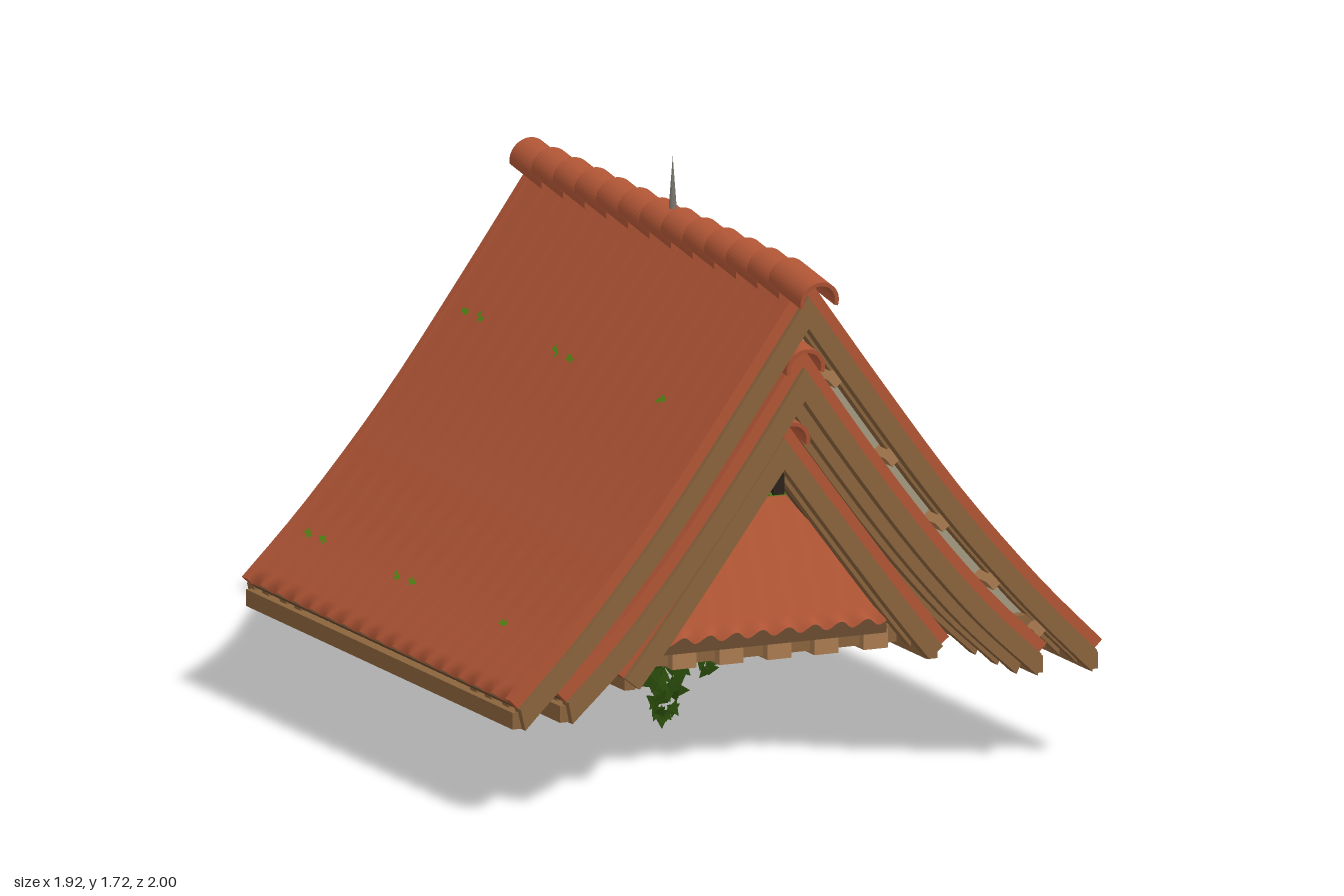
import * as THREE from 'three';
import { mergeGeometries } from 'three/addons/utils/BufferGeometryUtils.js';

const mat = (name, color, side = THREE.FrontSide) => {
  const m = new THREE.MeshStandardMaterial({ color, side });
  m.name = name;
  return m;
};

export function createModel() {
  const root = new THREE.Group();
  const tile = mat('terracotta tile', 0xb05535, THREE.DoubleSide);
  const wood = mat('wood', 0x8a633c);
  const lightWood = mat('light wood', 0xa97a50);
  const darkWood = mat('dark wood', 0x6a4b2f);
  const plaster = mat('plaster', 0xa39980, THREE.DoubleSide);
  const ivy = mat('ivy green', 0x28480a, THREE.DoubleSide);
  const moss = mat('moss green', 0x528a14, THREE.DoubleSide);
  const iron = mat('iron', 0x77756c);
  const black = mat('opening black', 0x2a211b);

  let seed = 7;
  const rnd = () => (seed = (seed * 16807) % 2147483647) / 2147483647;
  const add = (parent, name, geo, material, x = 0, y = 0, z = 0) => {
    const m = new THREE.Mesh(geo, material);
    m.name = name;
    m.position.set(x, y, z);
    parent.add(m);
    return m;
  };
  const box = (parent, name, w, h, d, material, x, y, z) =>
    add(parent, name, new THREE.BoxGeometry(w, h, d), material, x, y, z);

  // Point on a roof slope, moved along the outward normal by d; t over 1 runs straight past the eave
  const slopePoint = (curve, t, d) => {
    const q = Math.min(t, 1), p = curve.getPoint(q), g = curve.getTangent(q);
    return new THREE.Vector2(p.x - g.y * d + g.x * (t - q), p.y + g.x * d + g.y * (t - q));
  };
  const offsetSide = (curve, d, end) => {
    const pts = [new THREE.Vector2(0, curve.getPoint(0).y + d / curve.getTangent(0).x)];
    for (let i = 1; i <= 16; i++) {
      const p = slopePoint(curve, i / 16 * end, d);
      if (p.x > 0.01) pts.push(p);
    }
    return pts;
  };
  // Both slopes as one bent band between two offsets, running from z0 to z1
  const chevron = (curve, d0, d1, z0, z1, end0 = 1, end1 = end0) => {
    const full = (d, end) => {
      const r = offsetSide(curve, d, end);
      const l = r.slice(1).reverse().map(p => new THREE.Vector2(-p.x, p.y));
      return [...l, ...r];
    };
    const shape = new THREE.Shape([...full(d0, end0), ...full(d1, end1).reverse()]);
    return new THREE.ExtrudeGeometry(shape, { depth: z1 - z0, bevelEnabled: false }).translate(0, 0, z0);
  };
  // Smooth tile surface of one slope, scalloped towards the eave
  const tileSheet = (curve, half, side) => {
    const cols = Math.round(half * 2 / 0.115);
    const geo = new THREE.PlaneGeometry(2, 1, cols * 6, 32);
    const pos = geo.attributes.position;
    for (let i = 0; i < pos.count; i++) {
      const u = pos.getX(i), t = 0.5 - pos.getY(i);
      const amp = t > 0.97 ? 0.011 : 0.0006;
      const p = slopePoint(curve, t, amp * (Math.cos(u * cols * Math.PI) - 1));
      pos.setXYZ(i, side * Math.max(p.x, 0), p.y, -u * half * side);
    }
    geo.computeVertexNormals();
    return geo;
  };
  // Overlapping, tilted half-round ridge tiles
  const capShape = new THREE.Shape();
  capShape.absarc(0, 0, 0.062, -0.25, Math.PI + 0.25, false);
  capShape.absarc(0, 0, 0.05, Math.PI + 0.25, -0.25, true);
  const capGeo = new THREE.ExtrudeGeometry(capShape, { depth: 0.22, bevelEnabled: false, curveSegments: 12 });
  capGeo.translate(0, 0, -0.11);

  const makeRoof = (name, profile, half, ridgeHalf, rafters, rafterDepth, boardEnd, shift = 0) => {
    const g = new THREE.Group();
    g.name = name;
    g.position.z = shift;
    root.add(g);
    const curve = new THREE.SplineCurve(profile.map(p => new THREE.Vector2(...p)));
    const both = (a, b, s) => s > 0 ? [a, b] : [-b, -a];
    for (const s of [1, -1]) {
      add(g, 'tileSlope', tileSheet(curve, half - 0.03, s), tile);
      const e = slopePoint(curve, boardEnd - 0.01, -0.062);
      box(g, 'eaveBeam', 0.035, 0.05, half * 2 - 0.04, wood, s * e.x, e.y, 0);
      add(g, 'edgeTiles', chevron(curve, 0.002, -0.036, ...both(half - 0.05, half - 0.014, s)), tile);
      add(g, 'bargeBoard', chevron(curve, -0.034, -0.09, ...both(half - 0.04, half + 0.005, s), 1, boardEnd), wood);
      for (const r of rafters)
        add(g, 'rafter', chevron(curve, -0.038, rafterDepth, s * r - 0.022, s * r + 0.022, 1, boardEnd - 0.01), wood);
    }
    add(g, 'sheathing', chevron(curve, -0.022, -0.04, -half + 0.03, half - 0.03), darkWood);
    const n = Math.round((ridgeHalf * 2 - 0.22) / 0.148) + 1;
    for (let i = 0; i < n; i++) {
      const z = ridgeHalf - 0.11 - i * (ridgeHalf * 2 - 0.22) / (n - 1);
      add(g, 'ridgeTile', capGeo, tile, 0, profile[0][1] - 0.045, z - shift).rotation.x = 0.14;
    }
    return curve;
  };

  // Three nested roofs
  const outer = makeRoof('outerRoof',
    [[0, 1.54], [0.25, 1.19], [0.5, 0.855], [0.75, 0.565], [0.958, 0.355]], 0.93, 0.995, [0.6, 0.7, 0.82], -0.088, 1.035, -0.015);
  makeRoof('middleRoof',
    [[0, 1.32], [0.2, 1.035], [0.42, 0.745], [0.62, 0.515], [0.79, 0.355]], 0.89, 0.9, [0.5, 0.65, 0.78], -0.115, 1.035);
  const inner = makeRoof('innerRoof',
    [[0, 1.08], [0.155, 0.87], [0.305, 0.67], [0.435, 0.5], [0.54, 0.37]], 0.75, 0.8, [0.35, 0.6], -0.082, 1);
  // Second course of tiles packed on top of the inner roof
  add(root, 'packedTiles', chevron(inner, 0.045, -0.01, -0.5, 0.5, 0.98), tile);

  // Plaster infill, purlins and tie beams in the gap below the outer roof
  for (const s of [1, -1]) {
    add(root, 'gablePlaster', chevron(outer, -0.07, -0.14, s * 0.76 - 0.004, s * 0.76 + 0.004, 0.89), plaster);
    for (const t of [0.2, 0.38, 0.54, 0.7, 0.85]) {
      const p = slopePoint(outer, t, -0.098);
      box(root, 'purlin', 0.035, 0.035, 1.72, lightWood, s * p.x, p.y, 0).rotation.z = -s * 0.85;
    }
    for (const z of [0.8, -0.8]) box(root, 'tieBeam', 0.17, 0.045, 0.04, wood, s * 0.735, 0.41, z);
  }

  // Hip panel leaning against a gable, scalloped along its lower edge
  const hipPanel = (halfBase, halfTop, y0, y1, z0, z1) => {
    const geo = new THREE.PlaneGeometry(2, 1, 120, 24);
    const pos = geo.attributes.position;
    for (let i = 0; i < pos.count; i++) {
      const v = pos.getY(i) + 0.5;
      const x = pos.getX(i) * THREE.MathUtils.lerp(halfBase, halfTop, v);
      const w = (v < 0.03 ? 0.012 : 0.001) * Math.cos(x / 0.085 * Math.PI * 2);
      pos.setXYZ(i, x, y0 + (y1 - y0) * v + w, z0 + (z1 - z0) * v + w * Math.sign(z0) * 0.5);
    }
    geo.computeVertexNormals();
    return geo;
  };
  add(root, 'frontHip', hipPanel(0.45, 0.015, 0.405, 0.945, 0.6, 0.35), tile);
  add(root, 'rearHip', hipPanel(0.45, 0.41, 0.4, 0.45, -0.58, -0.51), tile);
  for (const s of [1, -1]) box(root, 'hipEave', 0.84, 0.045, 0.03, darkWood, 0, 0.383, s * 0.55);
  box(root, 'gableVent', 0.036, 0.08, 0.03, black, 0, 0.885, 0.7);
  add(root, 'ventTop', new THREE.CylinderGeometry(0.018, 0.018, 0.03, 10).rotateX(Math.PI / 2), black, 0, 0.925, 0.7);
  box(root, 'ventMoss', 0.05, 0.01, 0.03, moss, 0, 0.845, 0.69);

  // Square base frame with joist ends
  const frame = new THREE.Group();
  frame.name = 'baseFrame';
  root.add(frame);
  for (const s of [1, -1]) {
    box(frame, 'frameBeam', 1, 0.05, 0.09, wood, 0, 0.345, s * 0.48);
    box(frame, 'frameBeam', 0.09, 0.05, 0.96, wood, s * 0.455, 0.345, 0);
    box(frame, 'innerBeam', 0.64, 0.035, 0.08, wood, 0, 0.35, s * 0.29);
    box(frame, 'innerBeam', 0.08, 0.035, 0.5, wood, s * 0.28, 0.35, 0);
    box(frame, 'ceilingPanel', 0.11, 0.008, 0.4, plaster, s * 0.13, 0.366, 0);
    for (const p of [-0.39, -0.23, -0.078, 0.078, 0.23, 0.39]) {
      box(frame, 'joistEnd', 0.078, 0.056, 0.12, lightWood, p, 0.34, s * 0.495);
      box(frame, 'joistEnd', 0.11, 0.056, 0.078, lightWood, s * 0.447, 0.34, p);
    }
  }
  box(frame, 'floorBoards', 0.9, 0.012, 1, darkWood, 0, 0.376, 0);

  // Rear gable wall and balcony railing
  const gable = new THREE.Shape([[-0.42, 0.38], [0.42, 0.38], [0, 0.95]].map(p => new THREE.Vector2(...p)));
  add(root, 'rearWall', new THREE.ExtrudeGeometry(gable, { depth: 0.02, bevelEnabled: false }), darkWood, 0, 0, -0.28);
  const railing = new THREE.Group();
  railing.name = 'balconyRailing';
  root.add(railing);
  for (const y of [0.45, 0.62]) {
    box(railing, 'rail', 0.52, 0.03, 0.035, wood, 0, y, -0.46);
    for (const s of [1, -1]) box(railing, 'sideRail', 0.03, 0.03, 0.18, wood, s * 0.245, y, -0.37);
  }
  for (let i = -4; i <= 4; i++)
    box(railing, 'baluster', 0.024, i % 4 ? 0.24 : 0.3, 0.024, wood, i * 0.06, i % 4 ? 0.5 : 0.53, -0.46);

  // Hanging ivy: scattered pointed leaves in clumps [x, y, halfWidth, halfHeight, count]
  const leaves = [];
  for (const [cx, cy, rx, ry, n] of [
    [-0.03, 0.26, 0.075, 0.05, 80], [-0.09, 0.18, 0.035, 0.035, 24], [-0.02, 0.16, 0.05, 0.05, 40],
    [-0.03, 0.085, 0.035, 0.035, 16], [-0.035, 0.035, 0.012, 0.012, 5], [0.07, 0.285, 0.05, 0.02, 20],
    [0.105, 0.2, 0.02, 0.04, 14]]) {
    for (let i = 0; i < n; i++) {
      const leaf = new THREE.CircleGeometry(0.018 + rnd() * 0.016, 3);
      leaf.rotateZ(rnd() * 6.28).rotateY((rnd() - 0.5) * 0.7).rotateX((rnd() - 0.5) * 0.7);
      leaves.push(leaf.translate(cx + (rnd() * 2 - 1) * rx, cy + (rnd() * 2 - 1) * ry, (rnd() - 0.5) * 0.02));
    }
  }
  add(root, 'hangingIvy', mergeGeometries(leaves), ivy);

  // Moss tufts on the outer slopes, three blades each
  for (const s of [1, -1]) for (const t of [0.3, 0.815]) for (const z of [0.55, -0.07, -0.17, -0.68, -0.78]) {
    const p = slopePoint(outer, t, 0.006), g = outer.getTangent(t), a = Math.atan2(g.x, -g.y);
    const blades = [-0.015, 0, 0.013].map(dz => new THREE.CircleGeometry(0.014, 3)
      .rotateZ(rnd() * 6).rotateY(Math.PI / 2).translate(0, (rnd() - 0.5) * 0.016, dz));
    add(root, 'mossTuft', mergeGeometries(blades), moss, s * p.x, p.y, z).rotation.z = s > 0 ? a : Math.PI - a;
  }

  // Ridge spike
  add(root, 'ridgeSpike', new THREE.ConeGeometry(0.016, 0.2, 8), iron, 0, 1.615, -0.01);
  return root;
}
